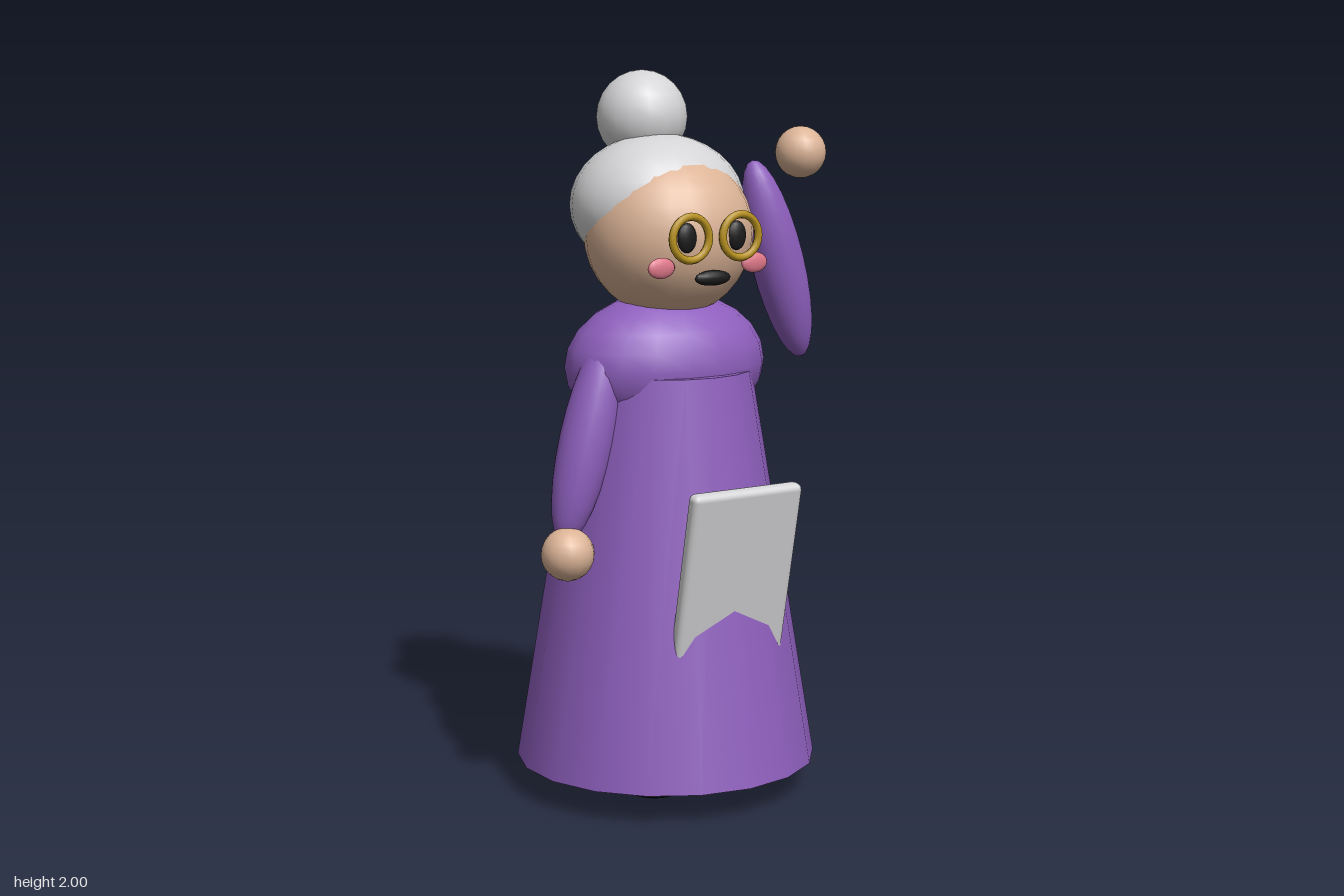
import * as THREE from 'three';
import { RoundedBoxGeometry } from 'three/addons/geometries/RoundedBoxGeometry.js';

const mat = (name, color) => {
  const m = new THREE.MeshStandardMaterial({ color });
  m.name = name;
  return m;
};

export function createModel() {
  const group = new THREE.Group();
  const purple = mat('purple cloth', 0x8e5fbd);
  const skin = mat('skin', 0xdcb497);
  const grey = mat('silver grey', 0xd4d4d6);
  const black = mat('black', 0x1a1a1a);
  const gold = mat('gold', 0xb8921f);
  const pink = mat('pink', 0xe0788a);
  const cx = -0.04; // centre line of the body

  const add = (name, geometry, material, x, y, z) => {
    const mesh = new THREE.Mesh(geometry, material);
    mesh.name = name;
    mesh.position.set(x, y, z);
    group.add(mesh);
    return mesh;
  };
  const ellipsoid = (name, material, [x, y, z], [rx, ry, rz], w = 20, h = 14) => {
    const mesh = add(name, new THREE.SphereGeometry(1, w, h), material, x, y, z);
    mesh.scale.set(rx, ry, rz);
    return mesh;
  };

  // Dress and shoulders
  add('dress', new THREE.CylinderGeometry(0.24, 0.42, 1.1, 18), purple, cx, 0.635, 0);
  ellipsoid('shoulders', purple, [cx, 1.2, 0], [0.3, 0.2, 0.215], 18, 12);

  // Apron panel, leaning forward with its lower end sunk in the dress
  const apron = add('apron', new RoundedBoxGeometry(0.35, 0.6, 0.045, 2, 0.018), grey, cx + 0.005, 0.612, 0.329);
  apron.rotation.x = 0.2;

  // Head, hair and bun
  ellipsoid('head', skin, [cx, 1.56, 0.017], [0.238, 0.23, 0.222], 24, 16);
  ellipsoid('hair', grey, [cx, 1.635, -0.04], [0.248, 0.195, 0.226], 24, 16);
  ellipsoid('bun', grey, [cx, 1.872, -0.118], [0.128, 0.128, 0.128], 16, 12);

  // Paired face details and shoes
  for (const [side, s] of [['right', -1], ['left', 1]]) {
    ellipsoid(side + 'Eye', black, [cx + s * 0.08, 1.565, 0.228], [0.03, 0.04, 0.014], 12, 10);
    add(side + 'GlassesRing', new THREE.TorusGeometry(0.058, 0.011, 8, 24), gold, cx + s * 0.08, 1.565, 0.247);
    ellipsoid(side + 'Cheek', pink, [cx + s * 0.15, 1.487, 0.211], [0.043, 0.028, 0.012], 12, 10);
    ellipsoid(side + 'Shoe', black, [cx + s * 0.119, 0.07, 0.08], [0.098, 0.07, 0.16], 16, 12);
  }
  ellipsoid('mouth', black, [cx, 1.455, 0.232], [0.058, 0.021, 0.018], 14, 8);

  // Raised left arm and lowered right arm
  const arm = [0.075, 0.295, 0.075];
  const hand = [0.073, 0.073, 0.073];
  ellipsoid('leftArm', purple, [0.323, 1.467, 0.02], arm, 18, 14).rotation.z = 0.297;
  ellipsoid('leftHand', skin, [0.402, 1.767, 0.02], hand, 16, 12);
  ellipsoid('rightArm', purple, [-0.325, 1.02, 0.048], arm, 18, 14).rotation.z = -0.262;
  ellipsoid('rightHand', skin, [-0.405, 0.715, 0.077], hand, 16, 12);

  return group;
}
